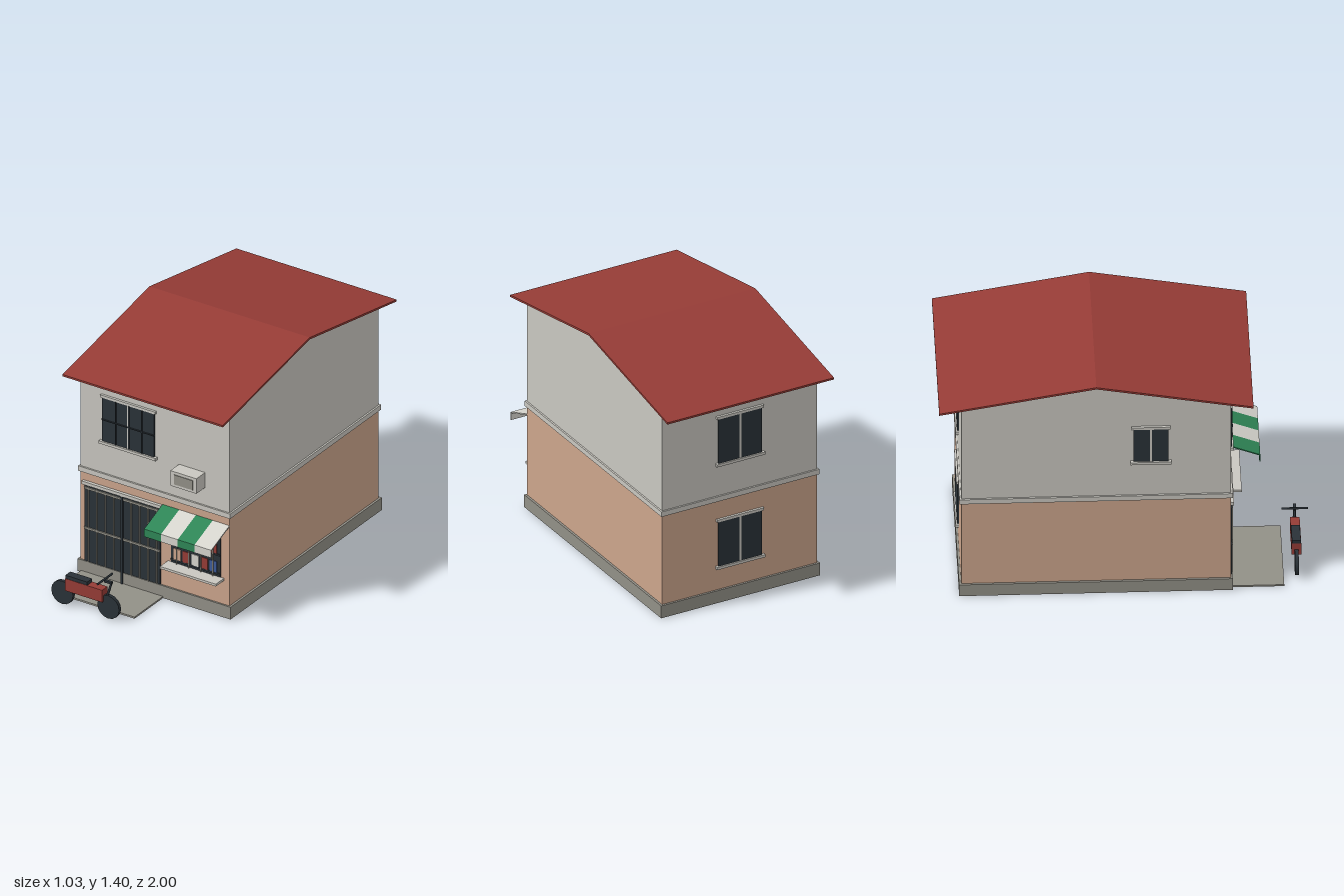
import * as THREE from 'three';

const mat = (name, color) => {
  const m = new THREE.MeshStandardMaterial({ color });
  m.name = name;
  return m;
};

export function createModel() {
  const plaster = mat('pale plaster', 0xc9c7c0);
  const tan = mat('tan wall', 0xcca58c);
  const roofRed = mat('roof red', 0x963c36);
  const concrete = mat('concrete grey', 0x929087);
  const dark = mat('dark glass and metal', 0x2a3238);
  const green = mat('awning green', 0x2f8657);
  const white = mat('awning white', 0xd6d5ce);
  const blue = mat('goods blue', 0x3c5a9a);

  const model = new THREE.Group();
  model.name = 'shopHouse';

  const group = (name, parent = model) => {
    const g = new THREE.Group();
    g.name = name;
    parent.add(g);
    return g;
  };
  const add = (name, geo, material, parent) => {
    const mesh = new THREE.Mesh(geo, material);
    mesh.name = name;
    parent.add(mesh);
    return mesh;
  };
  // Box given by its extents
  const box = (name, material, x0, x1, y0, y1, z0, z1, parent = model) => {
    const mesh = add(name, new THREE.BoxGeometry(x1 - x0, y1 - y0, z1 - z0), material, parent);
    mesh.position.set((x0 + x1) / 2, (y0 + y1) / 2, (z0 + z1) / 2);
    return mesh;
  };
  // Side profile of [z, y] points, extruded from x0 to x1
  const profile = (name, material, pts, x0, x1, parent = model) => {
    const shape = new THREE.Shape(pts.map(([z, y]) => new THREE.Vector2(z, y)));
    const geo = new THREE.ExtrudeGeometry(shape, { depth: x1 - x0, bevelEnabled: false });
    geo.rotateY(-Math.PI / 2).translate(x1, 0, 0);
    return add(name, geo, material, parent);
  };

  // Building shell
  box('plinth', concrete, -0.493, 0.493, 0, 0.075, -0.892, 0.58);
  box('lowerWall', tan, -0.48, 0.48, 0.075, 0.62, -0.88, 0.57);
  box('floorBand', plaster, -0.49, 0.49, 0.615, 0.645, -0.89, 0.58);
  profile('upperWall', plaster,
    [[0.57, 0.645], [0.57, 1.255], [-0.155, 1.388], [-0.88, 1.255], [-0.88, 0.645]], -0.48, 0.48);
  profile('roof', roofRed,
    [[0.69, 1.235], [0.69, 1.246], [-0.155, 1.4], [-1, 1.246], [-1, 1.235], [-0.155, 1.388]], -0.517, 0.517);

  // Two-pane window centred on its own origin, facing +z
  const makeWindow = (name, w, h, sill) => {
    const g = group(name);
    box('windowFrame', plaster, -0.005, 0.005, -h / 2, h / 2, 0, 0.011, g);
    for (const s of [-1, 1]) {
      const inner = s * 0.005, outer = s * w / 2;
      box('pane', dark, Math.min(inner, outer), Math.max(inner, outer), -h / 2, h / 2, 0, 0.01, g);
    }
    box('lintel', plaster, -w / 2 - 0.01, w / 2 + 0.01, h / 2, h / 2 + 0.015, 0, 0.014, g);
    box('sill', plaster, -w / 2 - 0.015, w / 2 + 0.015, -h / 2 - 0.016, -h / 2, 0, sill, g);
    return g;
  };
  const front = makeWindow('frontWindow', 0.335, 0.265, 0.02);
  front.position.set(-0.168, 0.978, 0.57);
  for (const x of [-0.085, 0, 0.085]) {
    box('grilleBar', dark, x + 0.004, x + 0.01, -0.132, 0.132, 0.01, 0.016, front);
  }
  box('grilleRail', dark, -0.167, 0.167, -0.003, 0.003, 0.01, 0.016, front);

  for (const [name, y] of [['upperBackWindow', 0.98], ['lowerBackWindow', 0.355]]) {
    const w = makeWindow(name, 0.27, 0.27, 0.018);
    w.position.set(0, y, -0.88);
    w.rotation.y = Math.PI;
  }
  const side = makeWindow('sideWindow', 0.19, 0.215, 0.02);
  side.position.set(-0.48, 0.983, 0.14);
  side.rotation.y = -Math.PI / 2;

  // Sliding gate
  const gate = group('gate');
  box('gatePanel', dark, -0.45, 0.037, 0.075, 0.545, 0.57, 0.576, gate);
  box('gateLintel', plaster, -0.462, 0.047, 0.545, 0.564, 0.57, 0.588, gate);
  for (const x of [-0.425, -0.37, -0.315, -0.26, -0.15, -0.095, -0.04, 0.015]) {
    box('gateBar', concrete, x - 0.004, x + 0.004, 0.075, 0.54, 0.576, 0.582, gate);
  }
  for (const y of [0.28, 0.525]) {
    box('gateRail', concrete, -0.45, 0.037, y - 0.006, y + 0.006, 0.576, 0.583, gate);
  }
  box('gatePost', dark, -0.212, -0.199, 0.01, 0.545, 0.576, 0.587, gate);
  box('ramp', concrete, -0.47, 0.058, 0, 0.01, 0.58, 0.857);

  // Shop window with goods behind bars
  const shop = group('shopWindow');
  box('shopOpening', dark, 0.105, 0.425, 0.235, 0.5, 0.57, 0.574, shop);
  const rows = [
    [0.258, 0.325, [tan, roofRed, white, roofRed, blue]],
    [0.375, 0.445, [roofRed, blue, green, tan, roofRed]],
  ];
  for (const [y0, y1, colours] of rows) {
    colours.forEach((c, i) => {
      const x = 0.148 + i * 0.058;
      box('goods', c, x - 0.022, x + 0.022, y0, y1, 0.574, 0.579, shop);
    });
    box('shelf', dark, 0.105, 0.425, y0 - 0.01, y0, 0.574, 0.58, shop);
  }
  for (const x of [0.146, 0.225, 0.303, 0.381]) {
    box('shopBar', concrete, x - 0.003, x + 0.003, 0.235, 0.5, 0.579, 0.584, shop);
  }
  box('shopCounter', plaster, 0.085, 0.445, 0.22, 0.234, 0.57, 0.65, shop);

  // Striped awning with valance
  const awning = group('awning');
  for (let i = 0; i < 4; i++) {
    const x = 0.048 + i * 0.108;
    profile('awningStripe', i % 2 ? white : green,
      [[0.57, 0.56], [0.57, 0.567], [0.748, 0.497], [0.748, 0.45], [0.743, 0.45], [0.743, 0.492]],
      x, x + 0.108, awning);
  }

  // Air conditioner
  const cooler = group('airConditioner');
  box('coolerCase', plaster, 0.155, 0.323, 0.753, 0.845, 0.57, 0.655, cooler);
  box('coolerGrille', concrete, 0.18, 0.302, 0.77, 0.828, 0.655, 0.659, cooler);

  // Motorbike parked across the front
  const bike = group('motorbike');
  bike.position.z = 0.928;
  for (const x of [-0.355, -0.058]) {
    const wheel = add('wheel', new THREE.CylinderGeometry(0.07, 0.07, 0.02, 16), dark, bike);
    wheel.rotation.x = Math.PI / 2;
    wheel.position.set(x, 0.073, 0);
  }
  box('bikeBody', roofRed, -0.325, -0.087, 0.1, 0.174, -0.026, 0.026, bike);
  box('seat', dark, -0.325, -0.184, 0.174, 0.194, -0.024, 0.024, bike);
  const stem = add('steeringStem', new THREE.CylinderGeometry(0.007, 0.007, 0.15, 8), dark, bike);
  stem.position.set(-0.065, 0.15, 0);
  stem.rotation.z = -0.3;
  const bar = add('handlebar', new THREE.CylinderGeometry(0.006, 0.006, 0.144, 8), dark, bike);
  bar.rotation.x = Math.PI / 2;
  bar.position.set(-0.086, 0.232, 0);
  box('handlebarClamp', dark, -0.086, -0.04, 0.215, 0.228, -0.008, 0.008, bike);

  return model;
}
